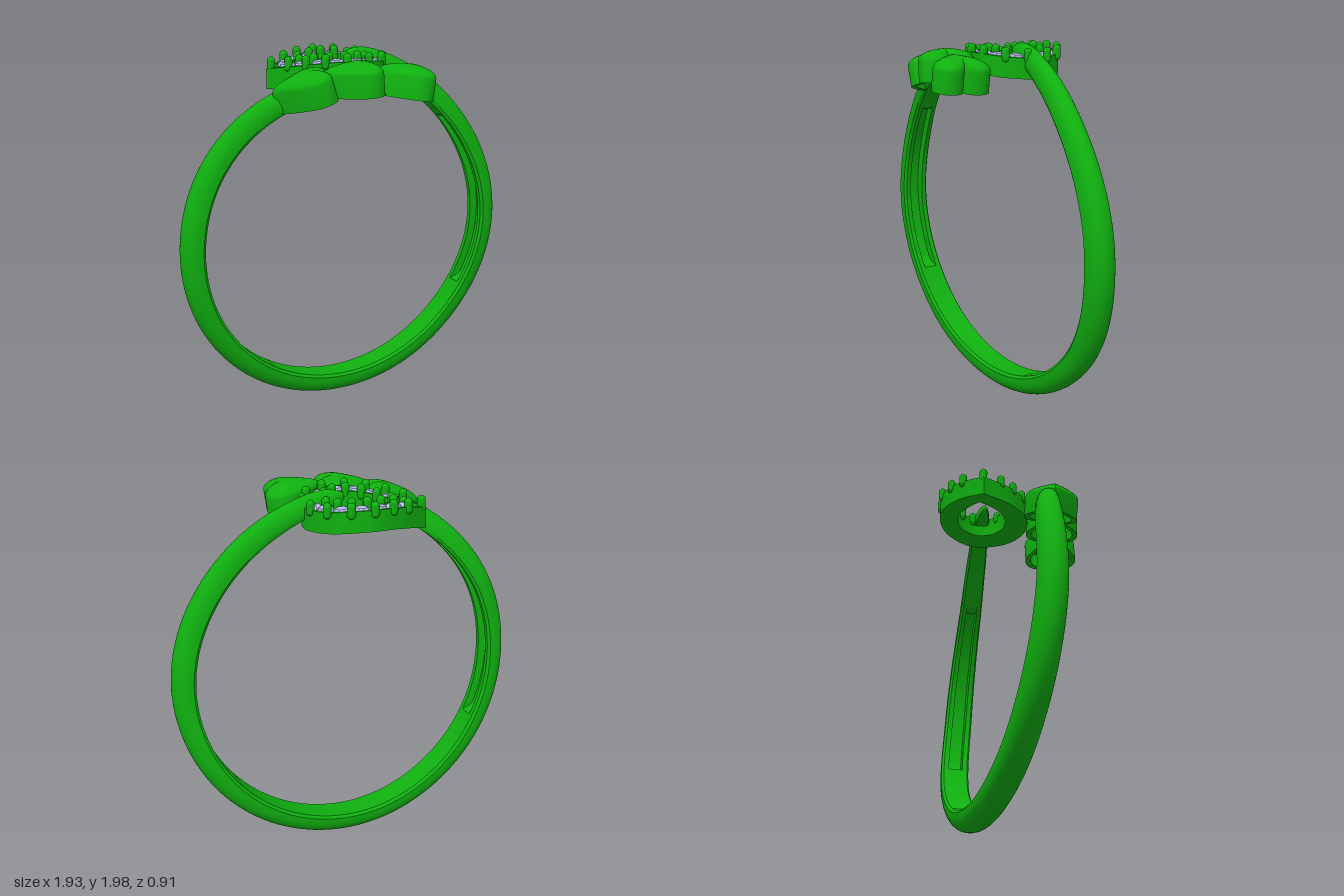
import * as THREE from 'three';
import { toCreasedNormals } from 'three/addons/utils/BufferGeometryUtils.js';

const metal = new THREE.MeshStandardMaterial({ color: 0x10b010 });
const gem = new THREE.MeshStandardMaterial({ color: 0xb4bce6, flatShading: true });
const V = (x, y, z) => new THREE.Vector3(x, y, z);

// Skin a list of closed loops (equal point counts) into one surface
function loft(rows, joinEnds = false, crease = 0.6) {
  const n = rows[0].length, m = rows.length, index = [];
  for (let i = 0; i < (joinEnds ? m : m - 1); i++) {
    for (let j = 0; j < n; j++) {
      const k = (j + 1) % n, i2 = (i + 1) % m;
      const a = i * n + j, b = i * n + k, c = i2 * n + k, d = i2 * n + j;
      index.push(a, b, c, a, c, d);
    }
  }
  const g = new THREE.BufferGeometry().setFromPoints(rows.flat());
  g.setIndex(index);
  return toCreasedNormals(g, crease);
}

function add(parent, name, geometry, material = metal) {
  const mesh = new THREE.Mesh(geometry, material);
  mesh.name = name;
  parent.add(mesh);
  return mesh;
}

// Open band: D section swept round the finger, its ends passing each other
function bandGeometry() {
  // angle, radius, z, half width, half thickness
  const stations = [
    [108, 0.905, 0.09, 0.055, 0.055],
    [116, 0.905, 0.06, 0.06, 0.057],
    [132, 0.907, -0.01, 0.066, 0.058],
    [150, 0.907, -0.062, 0.074, 0.058],
    [180, 0.907, -0.095, 0.08, 0.058],
    [225, 0.907, -0.145, 0.082, 0.058],
    [270, 0.907, -0.178, 0.082, 0.058],
    [315, 0.907, -0.155, 0.082, 0.058],
    [360, 0.907, -0.08, 0.08, 0.058],
    [400, 0.912, -0.077, 0.066, 0.058],
    [425, 0.948, -0.118, 0.056, 0.056],
    [440, 0.98, -0.158, 0.045, 0.05],
    [448, 0.983, -0.172, 0.04, 0.046],
  ];
  const track = new THREE.CubicInterpolant(
    stations.map(s => s[0]), stations.flatMap(s => s.slice(1)), 4);
  const slots = [[135, 208], [332, 405]];
  const section = (deg, depth, scale) => {
    const [r, z, w0, h0] = track.evaluate(deg);
    const w = w0 * scale, h = h0 * scale, g = w * 0.5, a = deg * Math.PI / 180;
    const pts = [];
    for (let i = 0; i <= 18; i++) {
      const t = Math.PI * i / 18;
      pts.push([-h * 0.75 + 1.75 * h * Math.pow(Math.max(Math.sin(t), 0), 0.8), w * Math.cos(t)]);
    }
    pts.push([-h, -w * 0.85], [-h, -g], [-h + depth, -g], [-h + depth, g], [-h, g], [-h, w * 0.85]);
    return pts.map(([u, v]) => V((r + u) * Math.cos(a), 0.965 + (r + u) * Math.sin(a), z + v));
  };
  const rows = [section(108, 0, 0.001)];
  for (let deg = 108; deg <= 440; deg += 2) {
    const slot = slots.find(([a, b]) => deg > a && deg < b);
    const edge = slot ? Math.min(deg - slot[0], slot[1] - deg) : 0;
    rows.push(section(deg, 0.045 * Math.min(1, edge / 3), 1));
  }
  for (let i = 1; i <= 10; i++) {
    const t = i / 10 * Math.PI / 2;
    rows.push(section(440 + 8 * Math.sin(t), 0, Math.max(Math.cos(t), 0.001)));
  }
  return loft(rows);
}

// Puffed heart, hollow underneath; point at -x, lobes at +x
function heartGeometry() {
  const half = new THREE.CatmullRomCurve3([
    [-0.16, 0], [-0.09, 0.065], [-0.02, 0.118], [0.04, 0.148], [0.1, 0.143],
    [0.14, 0.105], [0.148, 0.06], [0.133, 0.022], [0.105, 0],
  ].map(([x, z]) => V(x, 0, z))).getPoints(32);
  const outline = [...half, ...half.slice(1, -1).reverse().map(p => V(p.x, 0, -p.z))];
  const cx = 0.03;
  const ring = (s, y) => outline.map(p => V(cx + (p.x - cx) * s, y, p.z * s));
  const rows = [ring(0.001, 0.09), ring(0.8, 0.09), ring(0.8, 0), ring(1, 0), ring(1, 0.115)];
  for (let i = 1; i <= 9; i++) {
    const t = i / 9 * Math.PI / 2;
    rows.push(ring(Math.max(Math.cos(t), 0.001), 0.115 + 0.06 * Math.sin(t)));
  }
  return loft(rows, false, 0.7);
}

// Teardrop halo: outer and inner outlines as [x, z], both starting at the point
const outerPts = [[-0.37, -0.3], [-0.27, -0.12], [-0.13, 0.02], [0.03, 0.075], [0.155, 0.035],
  [0.225, -0.06], [0.255, -0.2], [0.17, -0.375], [0, -0.45], [-0.19, -0.405], [-0.37, -0.3]];
const innerPts = [[-0.22, -0.28], [-0.17, -0.185], [-0.09, -0.1], [0.02, -0.06], [0.09, -0.08],
  [0.135, -0.13], [0.15, -0.2], [0.1, -0.305], [0, -0.345], [-0.12, -0.32], [-0.22, -0.28]];
const curve = pts => new THREE.CatmullRomCurve3(pts.map(([x, z]) => V(x, 0, z)));
const haloTop = x => 1.938 - 0.45 * x * x;

function haloGeometry() {
  const outer = curve(outerPts), inner = curve(innerPts), n = 90;
  const ring = (f, drop) => Array.from({ length: n }, (_, j) => {
    const p = outer.getPoint(j / n).lerp(inner.getPoint(j / n), f);
    p.y = haloTop(p.x) - drop;
    return p;
  });
  return loft([ring(1, 0.11), ring(0, 0.11), ring(0, 0), ring(0.12, 0),
    ring(0.16, 0.03), ring(0.84, 0.03), ring(0.88, 0), ring(1, 0)], true);
}

export function createModel() {
  const model = new THREE.Group();
  model.name = 'ring';
  add(model, 'band', bandGeometry());

  // Three hearts stepping along the left end of the band: x, y, z, tilt
  const heart = heartGeometry();
  [[-0.315, 1.735, 0.11, 0.3], [-0.095, 1.782, 0.198, 0.07], [0.145, 1.768, 0.276, -0.14]]
    .forEach(([x, y, z, tilt], i) => {
      const mesh = add(model, 'heart' + (i + 1), heart);
      mesh.position.set(x, y, z);
      mesh.rotation.set(0, -0.25, tilt, 'ZYX');
    });

  // Halo with stones set in its channel and prongs between them
  const halo = new THREE.Group();
  halo.name = 'teardropHalo';
  model.add(halo);
  add(halo, 'haloFrame', haloGeometry());
  const mid = curve(outerPts.map(([x, z], i) => [(x + innerPts[i][0]) / 2, (z + innerPts[i][1]) / 2]));
  const stone = new THREE.CylinderGeometry(0.03, 0.049, 0.022, 8);
  const prong = new THREE.CapsuleGeometry(0.022, 0.04, 5, 12);
  const count = 14;
  for (let i = 0; i < count; i++) {
    const p = mid.getPointAt((i + 0.5) / count);
    const s = add(halo, 'stone', stone, gem);
    s.position.set(p.x, haloTop(p.x) - 0.004, p.z);
    s.rotation.z = -0.9 * p.x;
    const q = mid.getPointAt(i / count);
    const t = mid.getTangentAt(i / count);
    for (const side of [-1, 1]) {
      // at the point, the pair lies along the axis of the drop
      const off = i === 0 ? V(side * 0.048, 0, side * 0.006) : V(-t.z * side * 0.048, 0, t.x * side * 0.048);
      const b = add(halo, 'prong', prong);
      b.position.set(q.x + off.x, haloTop(q.x) + 0.002, q.z + off.z);
    }
  }
  return model;
}
